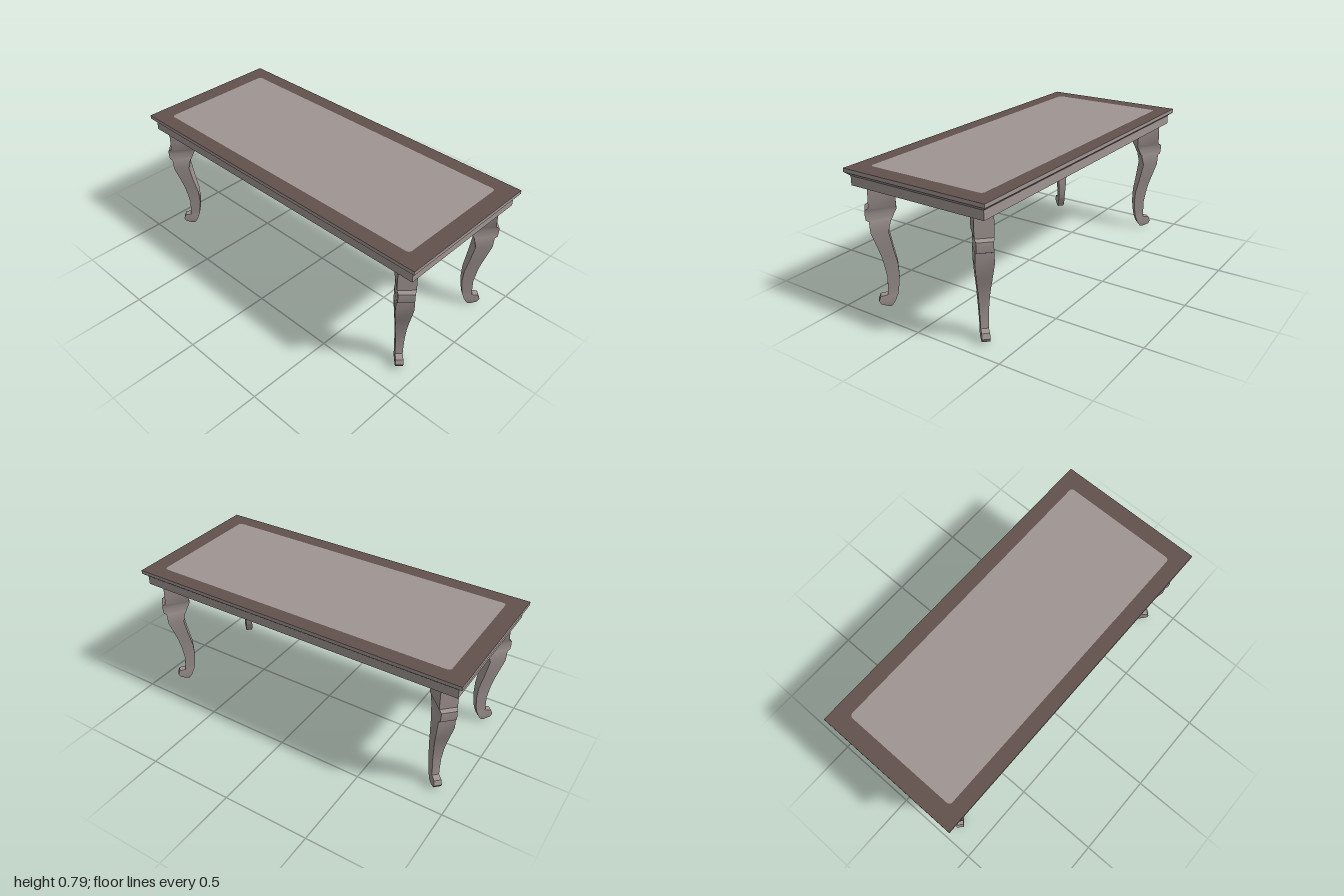
import * as THREE from 'three';
import { toCreasedNormals } from 'three/addons/utils/BufferGeometryUtils.js';

const greyWood = new THREE.MeshStandardMaterial({ name: 'grey wood', color: 0x9f9491 });
const brownWood = new THREE.MeshStandardMaterial({ name: 'brown wood', color: 0x63524d });

// Rectangle outline with rounded corners, from half sizes
function rect(Type, hx, hz, r = 0) {
  const s = new Type();
  if (r === 0) {
    s.moveTo(-hx, -hz).lineTo(hx, -hz).lineTo(hx, hz).lineTo(-hx, hz).closePath();
    return s;
  }
  s.absarc(hx - r, -hz + r, r, -Math.PI / 2, 0);
  s.absarc(hx - r, hz - r, r, 0, Math.PI / 2);
  s.absarc(-hx + r, hz - r, r, Math.PI / 2, Math.PI);
  s.absarc(-hx + r, -hz + r, r, Math.PI, Math.PI * 1.5);
  s.closePath();
  return s;
}

// Horizontal plate extruded upward from y0 to y1
function plate(shape, y0, y1) {
  const g = new THREE.ExtrudeGeometry(shape, { depth: y1 - y0, bevelEnabled: false, curveSegments: 6 });
  return g.rotateX(-Math.PI / 2).translate(0, y0, 0);
}

// Leg sections from floor to apron: height, outermost reach, innermost reach, half thickness
const LEG = [
  [0, 0.335, 0.298, 0.013], [0.015, 0.364, 0.288, 0.015], [0.035, 0.372, 0.279, 0.015],
  [0.062, 0.364, 0.273, 0.0145], [0.068, 0.337, 0.271, 0.014], [0.1, 0.336, 0.266, 0.0145],
  [0.17, 0.336, 0.258, 0.0165], [0.25, 0.348, 0.257, 0.02], [0.3, 0.359, 0.261, 0.0235],
  [0.345, 0.372, 0.264, 0.027], [0.44, 0.4, 0.27, 0.033], [0.503, 0.402, 0.26, 0.032],
  [0.51, 0.41, 0.258, 0.03], [0.54, 0.412, 0.249, 0.0295], [0.565, 0.411, 0.24, 0.0295],
  [0.577, 0.402, 0.237, 0.0335], [0.7, 0.4, 0.237, 0.0335],
];

// Curved leg lofted through rectangular sections, pointing along +x
function legGeometry() {
  const k = Math.SQRT2, pos = [], index = [];
  for (const [y, outer, inner, h] of LEG) {
    const o = (outer - h) * k, i = (inner + h) * k, t = h * k;
    pos.push(o, y, t, o, y, -t, i, y, -t, i, y, t);
  }
  for (let r = 0; r < LEG.length - 1; r++) {
    for (let j = 0; j < 4; j++) {
      const a = r * 4 + j, b = r * 4 + (j + 1) % 4;
      index.push(a, b, b + 4, a, b + 4, a + 4);
    }
  }
  const e = (LEG.length - 1) * 4;
  index.push(0, 2, 1, 0, 3, 2, e, e + 1, e + 2, e, e + 2, e + 3);
  const g = new THREE.BufferGeometry();
  g.setAttribute('position', new THREE.Float32BufferAttribute(pos, 3));
  g.setIndex(index);
  return toCreasedNormals(g, 0.6);
}

export function createModel() {
  const table = new THREE.Group();
  table.name = 'table';
  const add = (name, geometry, material) => {
    const m = new THREE.Mesh(geometry, material);
    m.name = name;
    table.add(m);
    return m;
  };

  // Tabletop: slab, brown border and inlaid centre panel
  add('topSlab', plate(rect(THREE.Shape, 1, 0.437), 0.765, 0.782), greyWood);
  const border = rect(THREE.Shape, 1, 0.437);
  border.holes.push(rect(THREE.Path, 0.9, 0.35, 0.02));
  add('topBorder', plate(border, 0.782, 0.786), [brownWood, greyWood]);
  add('topPanel', plate(rect(THREE.Shape, 0.9, 0.35, 0.02), 0.782, 0.786), greyWood);

  // Sloped moulding under the slab
  const slope = new THREE.BoxGeometry(2, 0.021, 0.874).toNonIndexed();
  const p = slope.attributes.position;
  for (let i = 0; i < p.count; i++) {
    if (p.getY(i) < 0) {
      p.setX(i, Math.sign(p.getX(i)) * 0.976);
      p.setZ(i, Math.sign(p.getZ(i)) * 0.413);
    }
  }
  slope.computeVertexNormals();
  add('moulding', slope.translate(0, 0.7545, 0), greyWood);

  // Hollow apron
  const apron = rect(THREE.Shape, 0.976, 0.413);
  apron.holes.push(rect(THREE.Path, 0.954, 0.391));
  add('apron', plate(apron, 0.693, 0.745), greyWood);

  // Four legs turned diagonally outward, reaching up to the underside
  const leg = legGeometry();
  for (const sx of [1, -1]) {
    for (const sz of [1, -1]) {
      const name = (sz > 0 ? 'front' : 'back') + (sx > 0 ? 'Left' : 'Right') + 'Leg';
      const m = add(name, leg, greyWood);
      m.position.x = sx * 0.55;
      m.rotation.y = Math.atan2(-sz, sx);
    }
  }
  return table;
}
